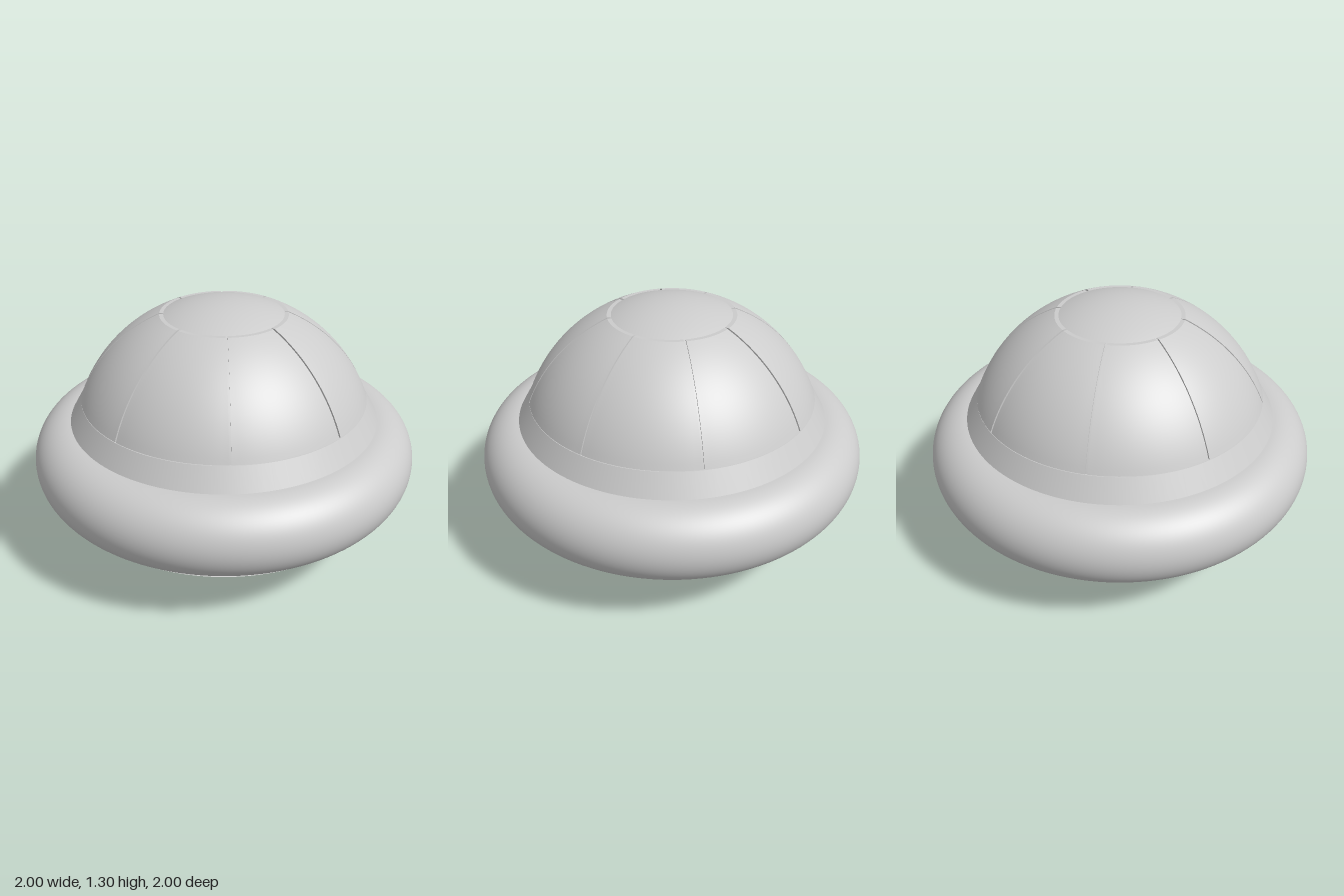
import * as THREE from 'three';

const material = new THREE.MeshStandardMaterial({ color: 0xcccccc });
const SEGMENTS = 128;
const DOME_Y = 0.516;      // centre height of the dome sphere
const DOME_R = 0.789;      // dome under the panels
const PANEL_R = 0.797;     // outer face of the panels
const PANEL_BOTTOM = 0.815, PANEL_TOP = 1.245;
const PANELS = 8, HALF_GAP = 0.005;

// Points on a circle in the profile plane, from angle a to angle b
function arc(cx, cy, r, a, b, n) {
  return Array.from({ length: n + 1 }, (_, i) => {
    const t = a + (b - a) * i / n;
    return new THREE.Vector2(Math.max(0, cx + r * Math.cos(t)), cy + r * Math.sin(t));
  });
}

// Profiles run from bottom to top so the faces point outward
function revolve(name, points) {
  const mesh = new THREE.Mesh(new THREE.LatheGeometry(points, SEGMENTS), material);
  mesh.name = name;
  return mesh;
}

// One curved dome panel: a box bent onto the sphere, with gaps of even width
function panelGeometry() {
  const geo = new THREE.BoxGeometry(1, 1, 1, 16, 20, 1);
  const p = geo.attributes.position;
  const low = Math.asin((PANEL_BOTTOM - DOME_Y) / PANEL_R);
  const high = Math.asin((PANEL_TOP - DOME_Y) / PANEL_R);
  for (let i = 0; i < p.count; i++) {
    const h = PANEL_R * Math.sin(THREE.MathUtils.lerp(low, high, p.getY(i) + 0.5));
    const R = p.getZ(i) > 0 ? PANEL_R : DOME_R - 0.004;
    const r = Math.sqrt(R * R - h * h);
    const phi = 2 * p.getX(i) * (Math.PI / PANELS - Math.asin(HALF_GAP / r));
    p.setXYZ(i, r * Math.sin(phi), DOME_Y + h, r * Math.cos(phi));
  }
  geo.computeVertexNormals();
  return geo;
}

export function createModel() {
  const model = new THREE.Group();
  model.name = 'saucer';

  // Shallow bowl underneath, with its sloping lip
  const bowlR = 1.44, bowlEdge = Math.asin(0.86 / bowlR);
  model.add(revolve('bowl', arc(0, bowlR, bowlR, -Math.PI / 2, -Math.PI / 2 + bowlEdge, 40)));
  model.add(revolve('bowlLip', [new THREE.Vector2(0.86, 0.286), new THREE.Vector2(0.79, 0.305)]));

  // Rounded rim
  model.add(revolve('rim', arc(0.8, 0.503, 0.2, -Math.PI / 2, Math.PI / 2, 40)));

  // Sloping collar with a narrow ledge that carries the panels
  model.add(revolve('collar', [new THREE.Vector2(0.803, 0.7), new THREE.Vector2(0.739, 0.812)]));
  model.add(revolve('collarLedge', [new THREE.Vector2(0.739, 0.812), new THREE.Vector2(0.71, 0.812)]));

  // Dome whose bare top forms the cap
  const start = Math.asin((0.8 - DOME_Y) / DOME_R);
  model.add(revolve('dome', arc(0, DOME_Y, DOME_R, start, Math.PI / 2, 40)));

  // Raised panels around the dome
  const panels = new THREE.Group();
  panels.name = 'domePanels';
  const geo = panelGeometry();
  for (let i = 0; i < PANELS; i++) {
    const panel = new THREE.Mesh(geo, material);
    panel.name = `domePanel${i + 1}`;
    panel.rotation.y = i * 2 * Math.PI / PANELS;
    panels.add(panel);
  }
  model.add(panels);
  return model;
}
